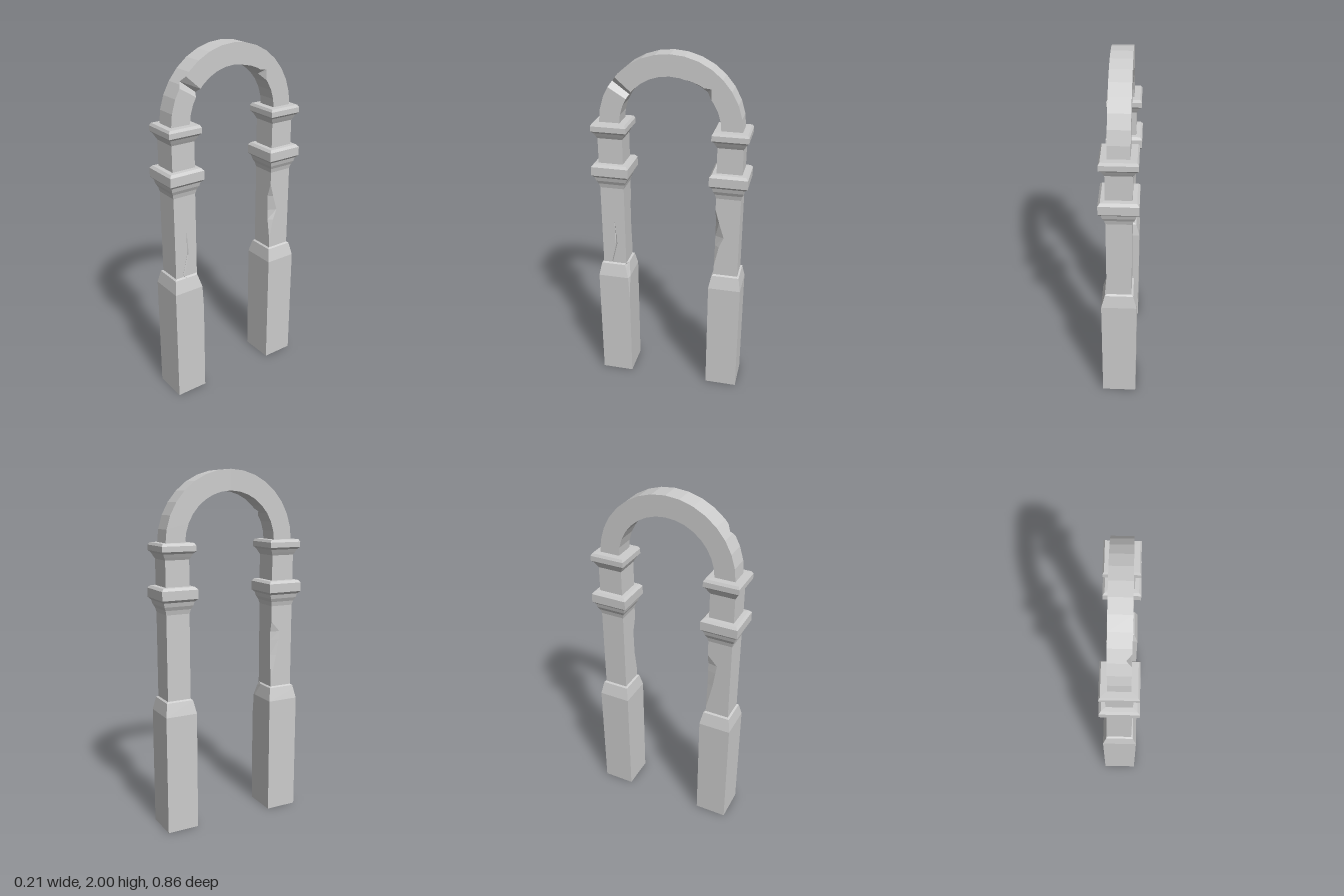
import * as THREE from 'three';

const material = new THREE.MeshStandardMaterial({ color: 0xcccccc, flatShading: true, side: THREE.DoubleSide });

// Skin a list of equal-length loops, skipping collapsed triangles
function loft(rings, name) {
  const pos = [];
  const tri = (a, b, c) => {
    const n = b.clone().sub(a).cross(c.clone().sub(a));
    if (n.length() > 1e-9) for (const p of [a, b, c]) pos.push(p.x, p.y, p.z);
  };
  for (let i = 0; i + 1 < rings.length; i++) {
    const lo = rings[i], hi = rings[i + 1], n = lo.length;
    for (let j = 0; j < n; j++) {
      const k = (j + 1) % n;
      tri(lo[j], lo[k], hi[k]);
      tri(lo[j], hi[k], hi[j]);
    }
  }
  const geo = new THREE.BufferGeometry();
  geo.setAttribute('position', new THREE.Float32BufferAttribute(pos, 3));
  geo.computeVertexNormals();
  const mesh = new THREE.Mesh(geo, material);
  mesh.name = name;
  return mesh;
}

// Linear lookup in rows [key, v1, v2]; null outside the range
function sample(rows, key) {
  for (let i = 0; i + 1 < rows.length; i++) {
    const a = rows[i], b = rows[i + 1];
    if (key >= a[0] && key <= b[0]) {
      const t = (key - a[0]) / (b[0] - a[0] || 1);
      return [1, 2].map(k => a[k] + (b[k] - a[k]) * t);
    }
  }
  return null;
}

// Column profile: height, half width in x, half width in z
const PROFILE = [
  [0, 0.098, 0.092], [0.68, 0.098, 0.092], [0.755, 0.078, 0.078], [0.762, 0.068, 0.068],
  [1.24, 0.068, 0.068], [1.265, 0.074, 0.074], [1.285, 0.084, 0.084], [1.308, 0.09, 0.09],
  [1.322, 0.104, 0.104], [1.372, 0.104, 0.104], [1.386, 0.092, 0.092], [1.388, 0.069, 0.069],
  [1.53, 0.069, 0.069], [1.545, 0.077, 0.077], [1.563, 0.086, 0.086], [1.575, 0.098, 0.098],
  [1.604, 0.098, 0.098], [1.618, 0.09, 0.09], [1.62, 0, 0],
];
const CORNERS = [[1, 1], [1, -1], [-1, -1], [-1, 1]];

// Square column; chips: { 'sx,sz': rows [y, cutX, cutZ] }, crack: rows [y, z, depth] on the +x face
function column(name, z0, chips, crack) {
  const extra = [...Object.values(chips).flat(), ...crack].map(r => r[0]);
  const rows = PROFILE.map(r => [...r]);
  for (const y of new Set(extra)) {
    if (!PROFILE.some(r => r[0] === y)) rows.push([y, ...sample(PROFILE, y)]);
  }
  rows.sort((a, b) => a[0] - b[0]);
  const rings = rows.map(([y, hx, hz]) => {
    const ring = [];
    const add = (x, z) => ring.push(new THREE.Vector3(x, y, z0 + z));
    for (const [sx, sz] of CORNERS) {
      const [cx, cz] = sample(chips[`${sx},${sz}`] || [], y) || [0, 0];
      const pair = [[sx * (hx - cx), sz * hz], [sx * hx, sz * (hz - cz)]];
      if (sx * sz < 0) pair.reverse();
      pair.forEach(p => add(...p));
      if (sx === 1 && sz === 1) {
        const [cz0, d] = sample(crack, y) || [0, 0];
        add(hx, cz0 + d);
        add(hx - d, cz0);
        add(hx, cz0 - d);
      }
    }
    return ring;
  });
  return loft(rings, name);
}

// Round arch in the yz plane with a groove and a broken inner edge on the +x face
function arch() {
  const w = 0.0565, outer = 0.388, inner = 0.275, baseY = 1.612, step = 180 / 16;
  const groove = [[31, 0, 0], [36, 0.027, 0], [41, 0, 0]];
  const chip = [[106, 0, 0], [118, 0.02, 0.008], [128, 0.03, 0.014], [134, 0.04, 0.036], [143, 0, 0]];
  const angles = [...groove, ...chip].map(r => r[0]);
  for (let i = 0; i <= 16; i++) angles.push(i * step);
  angles.sort((a, b) => a - b);
  const rad = THREE.MathUtils.degToRad;
  const rings = angles.map(t => {
    // keep added sections on the straight facets
    const k = Math.cos(rad(step / 2)) / Math.cos(rad((t % step) - step / 2));
    const [g] = sample(groove, t) || [0];
    const [cx, cr] = sample(chip, t) || [0, 0];
    const at = (x, r) => new THREE.Vector3(x, baseY + r * k * Math.sin(rad(t)), r * k * Math.cos(rad(t)));
    return [at(w - g, outer), at(w - g, inner + cr), at(w - g - cx, inner), at(-w, inner), at(-w, outer)];
  });
  return loft(rings, 'arch');
}

export function createModel() {
  const model = new THREE.Group();
  model.name = 'stoneArchway';
  model.add(
    column('frontColumn', 0.328, {
      '1,-1': [[0.54, 0, 0], [0.68, 0.025, 0.008], [0.735, 0.045, 0.012], [0.755, 0.05, 0.015], [0.762, 0, 0]],
      '-1,-1': [[0.79, 0, 0], [0.95, 0.012, 0.035], [1.09, 0.012, 0.055], [1.15, 0, 0]],
    }, [[0.762, 0.02, 0.006], [0.89, -0.012, 0.006], [1.04, -0.007, 0]]),
    column('backColumn', -0.328, {
      '1,1': [[0.82, 0, 0], [0.94, 0.02, 0.025], [1.0, 0.022, 0.05], [1.09, 0.025, 0.022], [1.17, 0, 0]],
    }, []),
    arch(),
  );
  return model;
}
